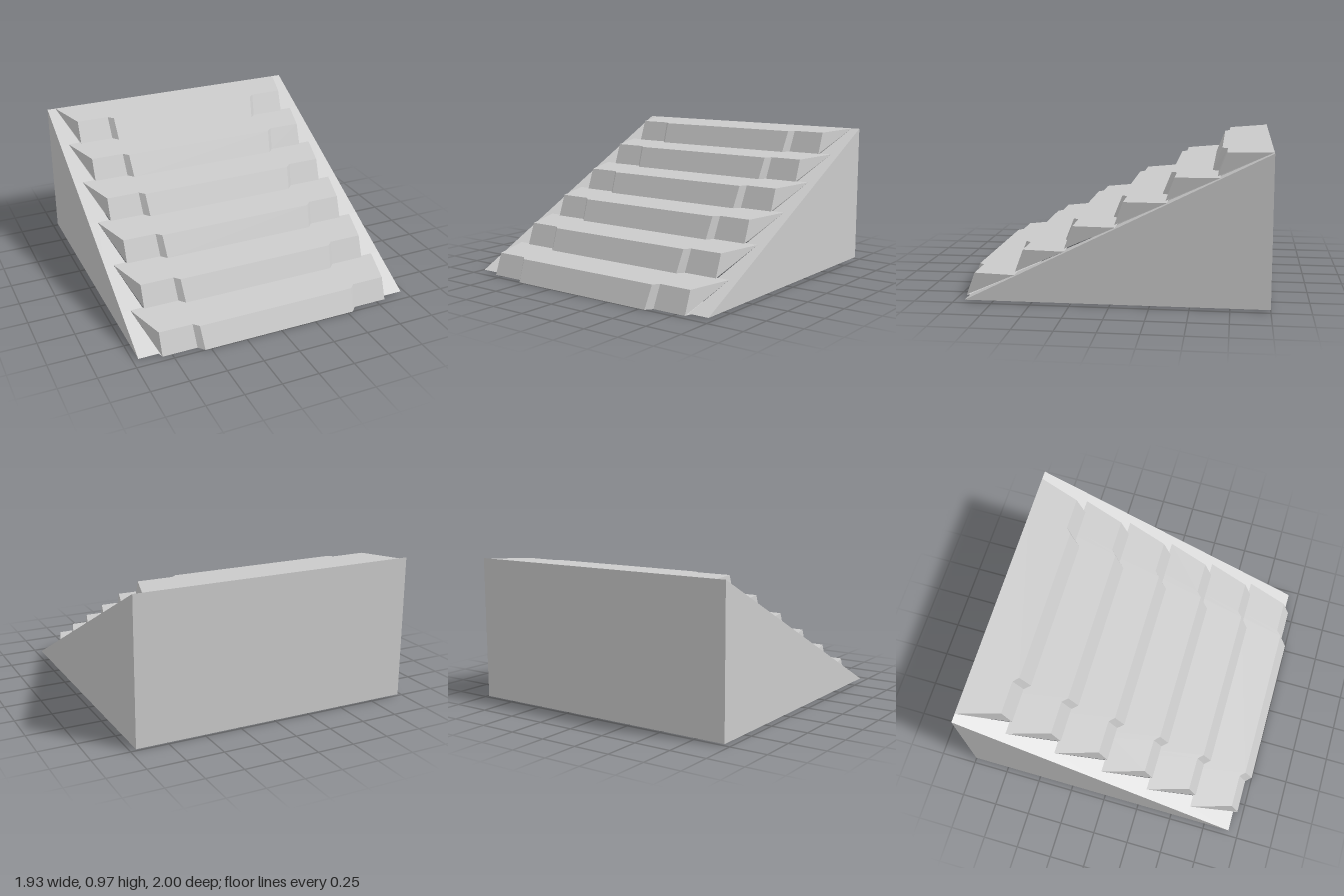
import * as THREE from 'three';

const material = new THREE.MeshStandardMaterial({ color: 0xcccccc, flatShading: true, side: THREE.DoubleSide });

const STEPS = 6, RUN = 0.324, RISE = 0.162;
const HALF = 0.965, FLARE = 0.905, CORNER = 0.815;
const BACK = 0.62; // back edge of the first tread

// Surface between two rows of points, both running in the +x direction.
function strip(name, lower, upper) {
  const pos = [];
  for (let i = 0; i + 1 < lower.length; i++) {
    pos.push(...lower[i], ...lower[i + 1], ...upper[i + 1]);
    pos.push(...lower[i], ...upper[i + 1], ...upper[i]);
  }
  return surface(name, pos);
}

function surface(name, pos) {
  const geometry = new THREE.BufferGeometry();
  geometry.setAttribute('position', new THREE.Float32BufferAttribute(pos, 3));
  geometry.computeVertexNormals();
  const mesh = new THREE.Mesh(geometry, material);
  mesh.name = name;
  return mesh;
}

// Mirror the +x half of a row of [x, y, z] points to a full left-to-right row.
const mirrorRow = (half) => [...half.map(([x, y, z]) => [-x, y, z]).reverse(), ...half];

const treadY = (z) => 0.165 - 0.053 * (z - BACK);       // gently tilted tread
const baseY = (z) => treadY(z - RUN) - RISE;            // the tread below it
const slopeY = (z) => 0.01 + 0.5 * (0.93 - z);          // ramp under the stairs

export function createModel() {
  const group = new THREE.Group();
  group.name = 'staircase';

  // Outline of one step: projecting middle, recessed ends, flared back edge
  const base = mirrorRow([[0.54, 1.0], [0.578, 0.96], [CORNER, 0.96]].map(([x, z]) => [x, baseY(z), z]));
  const nose = mirrorRow([[0.552, 0.94], [0.588, 0.905], [CORNER, 0.905]].map(([x, z]) => [x, treadY(z), z]));
  const rear = nose.map(([x]) => [x * FLARE / CORNER, treadY(BACK), BACK]);

  for (let i = 0; i < STEPS; i++) {
    const step = new THREE.Group();
    step.name = 'step' + (i + 1);
    step.add(strip('riser', base, nose), strip('tread', nose, rear));
    // Triangular cheeks closing the ends of the step
    step.add(surface('leftCheek', [...base[5], ...rear[5], ...nose[5]]));
    step.add(surface('rightCheek', [...base[0], ...nose[0], ...rear[0]]));
    // Sloping borders beside the step
    const zf = i === 0 ? 0.93 : BACK + RUN;
    const front = [[0.821, slopeY(zf), zf], [HALF, slopeY(zf), zf]];
    const back = [[FLARE, slopeY(BACK), BACK], [HALF, slopeY(BACK), BACK]];
    const flip = (row) => row.map(([x, y, z]) => [-x, y, z]).reverse();
    step.add(strip('leftBorder', front, back), strip('rightBorder', flip(front), flip(back)));
    step.position.set(0, i * RISE, -i * RUN);
    group.add(step);
  }

  // Thin foot plate under the first step
  const plateRear = base.map(([x]) => [x * 0.89 / CORNER, 0.008, 0.66]);
  group.add(strip('footPlate', plateRear, base));

  // Walls; the underside stays open
  const top = 0.975, low = 0.01;
  for (const s of [1, -1]) {
    const a = [s * HALF, low, 0.93], b = [s * HALF, low, -1], c = [s * HALF, top, -1];
    group.add(surface(s > 0 ? 'leftWall' : 'rightWall', s > 0 ? [...a, ...b, ...c] : [...a, ...c, ...b]));
  }
  group.add(strip('backWall', [[-HALF, top, -1], [HALF, top, -1]], [[-HALF, low, -1], [HALF, low, -1]]));

  return group;
}
